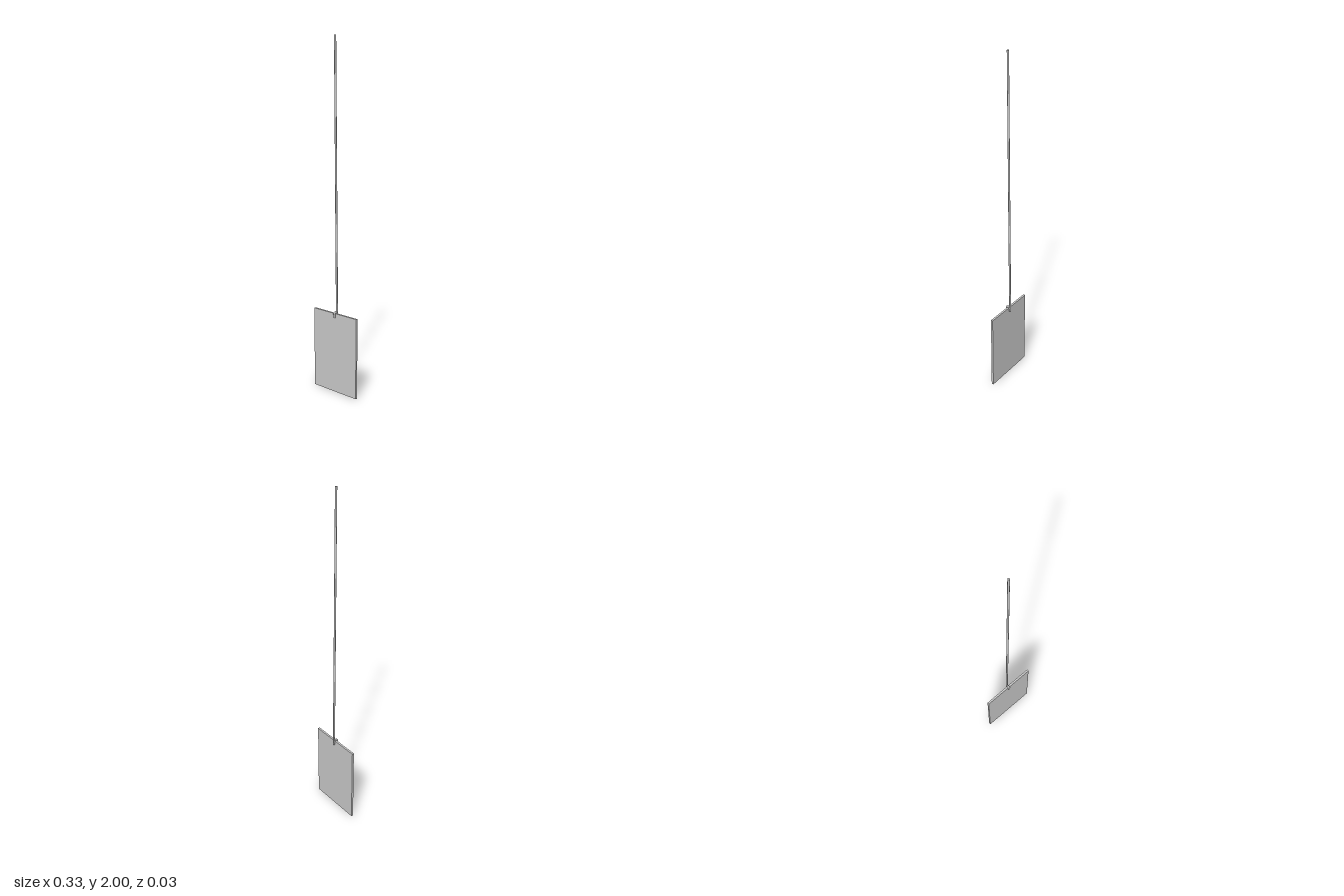
import * as THREE from 'three';

const material = new THREE.MeshStandardMaterial({ color: 0xcccccc });
const RADIUS = 0.006;

// Round wire through a list of [y, z] points, with closed ends
function wire(name, points, segments) {
  const group = new THREE.Group();
  group.name = name;
  const pts = points.map(([y, z]) => new THREE.Vector3(0, y, z));
  const curve = new THREE.CatmullRomCurve3(pts, false, 'centripetal');
  group.add(new THREE.Mesh(new THREE.TubeGeometry(curve, segments, RADIUS, 10), material));
  for (const t of [0, 1]) {
    const cap = new THREE.Mesh(new THREE.CircleGeometry(RADIUS, 10), material);
    cap.position.copy(curve.getPoint(t));
    const outward = curve.getTangent(t).multiplyScalar(t ? 1 : -1);
    cap.quaternion.setFromUnitVectors(new THREE.Vector3(0, 0, 1), outward);
    group.add(cap);
  }
  return group;
}

export function createModel() {
  const model = new THREE.Group();
  model.name = 'hangingSign';

  // Flat hanging board
  const board = new THREE.Mesh(new THREE.BoxGeometry(0.326, 0.465, 0.012), material);
  board.name = 'board';
  board.position.y = 0.2325;
  model.add(board);

  // Long hanger, leaning slightly back on its way down
  model.add(wire('hangerRod', [[2, 0.003], [1.5, -0.002], [1, -0.007], [0.47, -0.012], [0.443, -0.012]], 24));

  // Small hook from the rod, over the board's top edge and down its front
  model.add(wire('hook', [
    [0.445, -0.012], [0.462, -0.011], [0.47, -0.004], [0.471, 0.003],
    [0.466, 0.009], [0.455, 0.009], [0.441, 0.005],
  ], 20));

  return model;
}
